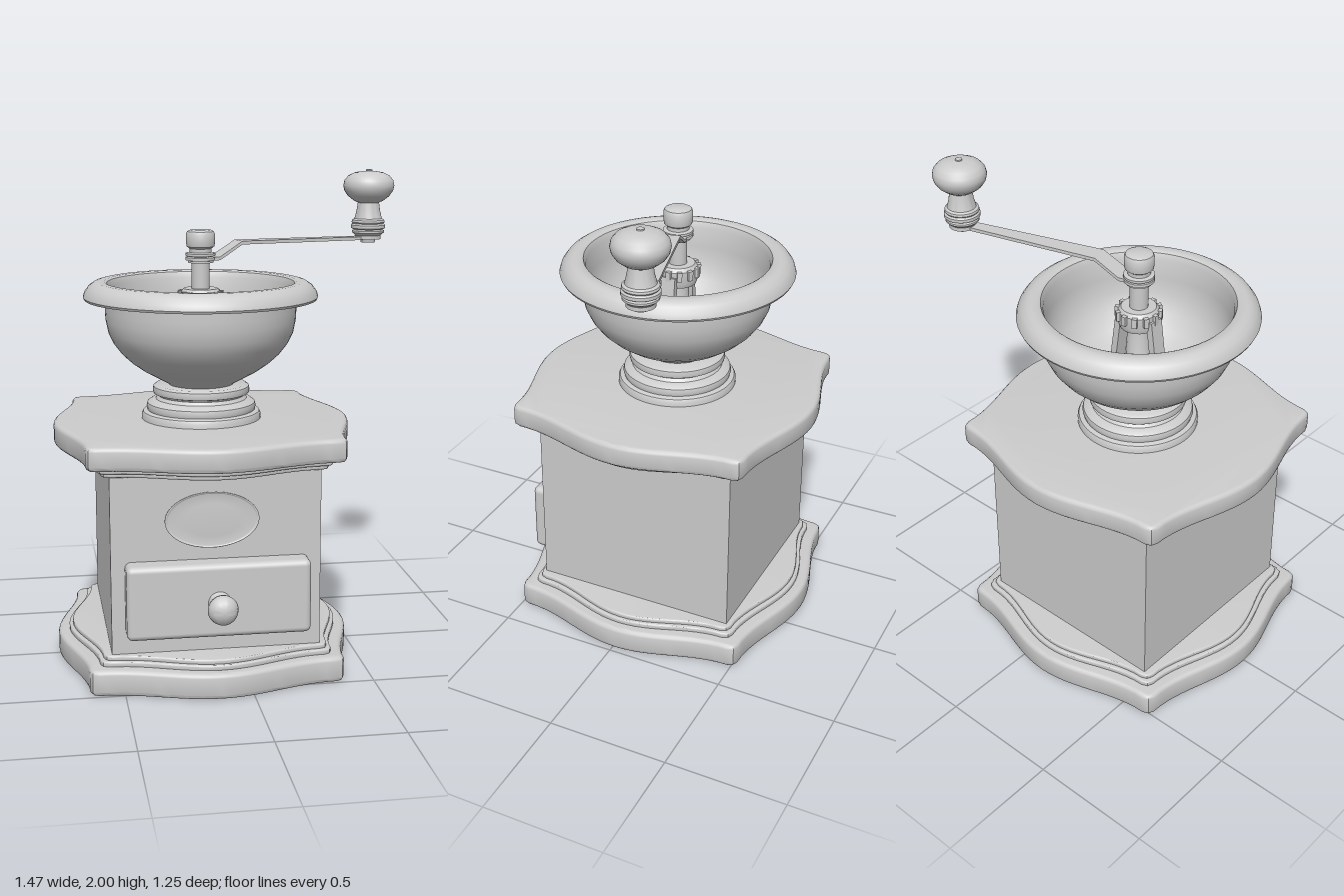
import * as THREE from 'three';
import { toCreasedNormals } from 'three/addons/utils/BufferGeometryUtils.js';
import { RoundedBoxGeometry } from 'three/addons/geometries/RoundedBoxGeometry.js';

const CX = -0.127, CZ = -0.01; // axis of the mill

export function createModel() {
  const grey = new THREE.MeshStandardMaterial({ color: 0xcccccc });
  grey.name = 'plain grey';
  const model = new THREE.Group();
  model.name = 'coffeeMill';
  const mill = new THREE.Group();
  mill.name = 'mill';
  mill.position.set(CX, 0, CZ);
  model.add(mill);

  const add = (name, geometry, x = 0, y = 0, z = 0, parent = mill) => {
    const mesh = new THREE.Mesh(geometry, grey);
    mesh.name = name;
    mesh.position.set(x, y, z);
    parent.add(mesh);
    return mesh;
  };
  // profile runs from bottom to top on the outside
  const lathe = (points, segments = 48) => toCreasedNormals(
    new THREE.LatheGeometry(points.map(([r, y]) => new THREE.Vector2(r, y)), segments), 0.6);

  // Square outline with a wavy bulge in the middle of every side
  const outline = (inset) => {
    const pts = [];
    const end = 0.475 - inset, n = 24;
    for (let side = 0; side < 4; side++) {
      const a = side * Math.PI / 2, c = Math.cos(a), s = Math.sin(a);
      const put = (d, t) => pts.push(new THREE.Vector2(d * c - t * s, d * s + t * c));
      for (let i = 0; i <= n; i++) {
        const t = end * (2 * i / n - 1);
        put(0.51 - inset + 0.05 * (1 + Math.cos(Math.PI * t / end)), t);
      }
      put(0.5 - inset, 0.5 - inset);
    }
    return new THREE.Shape(pts);
  };
  const slab = (name, y0, y1, inset, bevel) => {
    const g = new THREE.ExtrudeGeometry(outline(inset), {
      depth: y1 - y0 - 2 * bevel, bevelEnabled: true, bevelThickness: bevel,
      bevelSize: bevel, bevelOffset: -bevel, bevelSegments: 3,
    });
    g.rotateX(-Math.PI / 2);
    add(name, toCreasedNormals(g, 0.6), 0, y0 + bevel, 0);
  };

  // Wooden case
  slab('baseBoard', 0, 0.105, 0, 0.018);
  slab('baseMouldingLower', 0.1, 0.125, 0.045, 0.006);
  slab('baseMouldingUpper', 0.12, 0.143, 0.06, 0.006);
  add('body', new THREE.BoxGeometry(0.836, 0.8, 0.862), 0, 0.5, 0);
  slab('topMouldingLower', 0.867, 0.89, 0.06, 0.006);
  slab('topMouldingUpper', 0.885, 0.912, 0.045, 0.006);
  slab('topBoard', 0.905, 1.0, 0, 0.018);

  // Drawer and its knob
  add('drawer', new RoundedBoxGeometry(0.73, 0.3, 0.12, 4, 0.024), 0.002, 0.37, 0.455);
  const knob = lathe([[0, 0], [0.05, 0], [0.048, 0.012], [0.032, 0.03], [0.028, 0.05], [0.04, 0.062],
    [0.055, 0.08], [0.06, 0.1], [0.055, 0.12], [0.038, 0.136], [0.018, 0.143], [0, 0.145]], 32);
  knob.rotateX(Math.PI / 2);
  add('drawerKnob', knob, 0, 0.365, 0.5);

  // Oval plaque with a fine rim
  const plaque = lathe([[0.98, 0], [1, 0.004], [1, 0.007], [0.975, 0.009], [0.955, 0.006],
    [0.93, 0.005], [0.6, 0.007], [0, 0.009]], 64);
  plaque.rotateX(Math.PI / 2);
  add('ovalPlaque', plaque, -0.018, 0.68, 0.431).scale.set(0.187, 0.113, 1);

  // Stepped collar under the bowl
  add('collar', lathe([[0.246, 0.99], [0.246, 1.018], [0.24, 1.03], [0.222, 1.036], [0.226, 1.05],
    [0.222, 1.066], [0.205, 1.078], [0.188, 1.082], [0.178, 1.095], [0.182, 1.102], [0.197, 1.106],
    [0.2, 1.118], [0.197, 1.134], [0.185, 1.142], [0, 1.142]], 64));

  // Bowl with overhanging rim, outside then inside
  add('bowl', lathe([[0.13, 1.138], [0.14, 1.148], [0.235, 1.2], [0.285, 1.235], [0.325, 1.272],
    [0.358, 1.315], [0.379, 1.36], [0.389, 1.41], [0.391, 1.45], [0.391, 1.535], [0.45, 1.532],
    [0.464, 1.497], [0.474, 1.495], [0.479, 1.505], [0.473, 1.525], [0.456, 1.548], [0.435, 1.562],
    [0.42, 1.566], [0.392, 1.566], [0.382, 1.56], [0.372, 1.535], [0.37, 1.45], [0.362, 1.38],
    [0.335, 1.31], [0.285, 1.25], [0.21, 1.2], [0.13, 1.165], [0.12, 1.14]], 72));

  // Grinder bridge inside the bowl: hub, teeth, sloping legs
  add('bridgeHub', lathe([[0.04, 1.45], [0.075, 1.45], [0.082, 1.47], [0.082, 1.52], [0.07, 1.535], [0.03, 1.535]], 32));
  for (let i = 0; i < 12; i++) {
    const a = i * Math.PI / 6;
    add('hubTooth', new THREE.BoxGeometry(0.022, 0.04, 0.02), 0.083 * Math.cos(a), 1.505, 0.083 * Math.sin(a))
      .rotation.y = -a;
  }
  for (const side of [1, -1]) {
    add('bridgeLeg', new THREE.BoxGeometry(0.028, 0.35, 0.06), side * 0.1, 1.325, 0).rotation.z = side * 0.13;
  }
  add('burr', lathe([[0.095, 1.14], [0.09, 1.17], [0.05, 1.26], [0.045, 1.45]], 24));

  // Shaft, washers and cap nut
  add('shaft', new THREE.CylinderGeometry(0.037, 0.037, 0.5, 24), 0, 1.42, 0);
  add('capNut', lathe([[0.03, 1.64], [0.052, 1.64], [0.052, 1.648], [0.061, 1.65], [0.061, 1.662],
    [0.05, 1.665], [0.061, 1.668], [0.061, 1.678], [0.045, 1.682], [0.045, 1.697], [0.056, 1.705],
    [0.059, 1.72], [0.059, 1.755], [0.054, 1.766], [0.042, 1.772], [0, 1.773]], 32));

  // Crank: a bent, tapering strip turned about the shaft
  const crank = new THREE.Group();
  crank.name = 'crank';
  crank.rotation.y = 0.275;
  mill.add(crank);
  const strip = new THREE.BoxGeometry(0.78, 0.014, 1, 78, 1, 1);
  strip.translate(0.39, 0, 0);
  const p = strip.attributes.position;
  for (let i = 0; i < p.count; i++) {
    const x = p.getX(i);
    const lift = THREE.MathUtils.clamp((x - 0.07) / 0.1, 0, 1);
    p.setY(i, p.getY(i) + 1.657 + 0.06 * lift - 0.006 * x / 0.78);
    p.setZ(i, p.getZ(i) * (0.085 - 0.035 * x / 0.78));
  }
  add('crankArm', toCreasedNormals(strip, 0.4), 0, 0, 0, crank);

  // Crank handle: washer, turned neck, flattened ball and rivet tip
  add('crankHandle', lathe([[0, 1.692], [0.03, 1.692], [0.032, 1.704], [0.055, 1.706], [0.055, 1.722],
    [0.06, 1.728], [0.068, 1.734], [0.068, 1.742], [0.062, 1.747], [0.073, 1.753], [0.073, 1.766],
    [0.066, 1.772], [0.07, 1.778], [0.068, 1.787], [0.058, 1.793], [0.05, 1.825], [0.045, 1.86],
    [0.062, 1.868], [0.088, 1.888], [0.103, 1.91], [0.108, 1.932], [0.103, 1.954], [0.087, 1.973],
    [0.06, 1.986], [0.03, 1.991], [0.014, 1.992], [0.014, 1.997], [0.008, 2], [0, 2]], 40),
  0.78, 0, 0, crank);

  return model;
}
